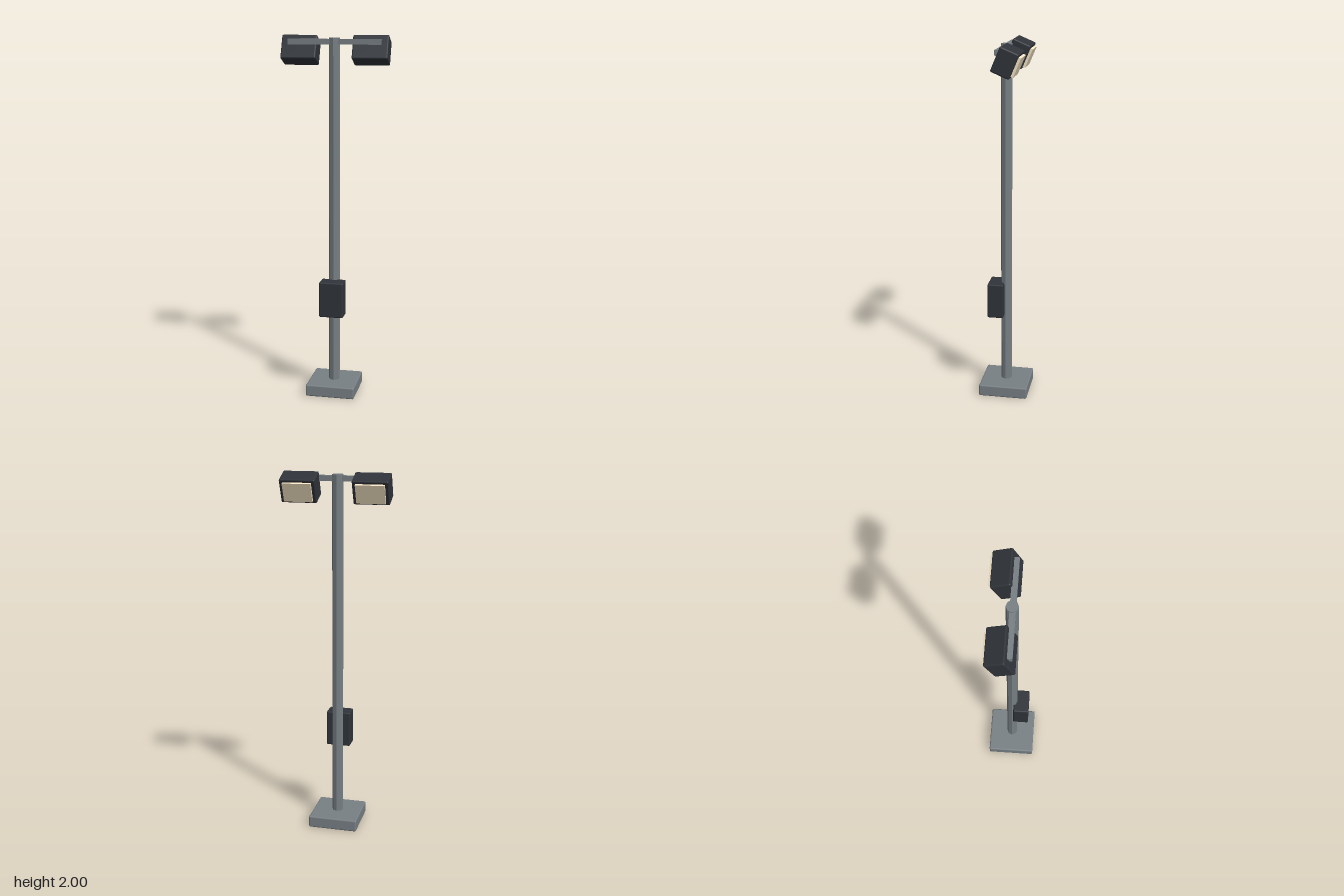
import * as THREE from 'three';
import { RoundedBoxGeometry } from 'three/addons/geometries/RoundedBoxGeometry.js';

export function createModel() {
  const model = new THREE.Group();
  model.name = 'floodlightPole';

  const steel = new THREE.MeshStandardMaterial({ color: 0x788085 });
  const steelFlat = new THREE.MeshStandardMaterial({ color: 0x788085, flatShading: true });
  const dark = new THREE.MeshStandardMaterial({ color: 0x30343a });
  const glass = new THREE.MeshStandardMaterial({ color: 0xf6e6c6 });

  function add(parent, name, geometry, material, x, y, z) {
    const mesh = new THREE.Mesh(geometry, material);
    mesh.name = name;
    mesh.position.set(x, y, z);
    parent.add(mesh);
    return mesh;
  }

  // Base plate and octagonal pole
  add(model, 'basePlate', new RoundedBoxGeometry(0.275, 0.066, 0.275, 2, 0.008), steel, 0, 0.033, 0);
  add(model, 'pole', new THREE.CylinderGeometry(0.031, 0.031, 1.945, 8), steelFlat, 0, 1.0125, 0);

  // Control box on the front of the pole
  add(model, 'controlBox', new RoundedBoxGeometry(0.136, 0.2, 0.09, 2, 0.008), dark, 0, 0.557, 0.054);

  // Cross arm carrying the lamps
  add(model, 'crossArm', new THREE.BoxGeometry(0.508, 0.03, 0.03), steel, 0, 1.963, 0.003);

  // Two lamps tilted down towards the back
  for (const side of [-1, 1]) {
    const lamp = new THREE.Group();
    lamp.name = side > 0 ? 'leftLamp' : 'rightLamp';
    lamp.position.set(side * 0.195, 1.918, -0.039);
    lamp.rotation.x = -0.4;
    add(lamp, 'lampHousing', new RoundedBoxGeometry(0.194, 0.136, 0.105, 2, 0.008), dark, 0, 0, 0);
    add(lamp, 'lampLens', new THREE.BoxGeometry(0.155, 0.106, 0.02), glass, 0, 0, -0.056);
    model.add(lamp);
  }

  return model;
}
